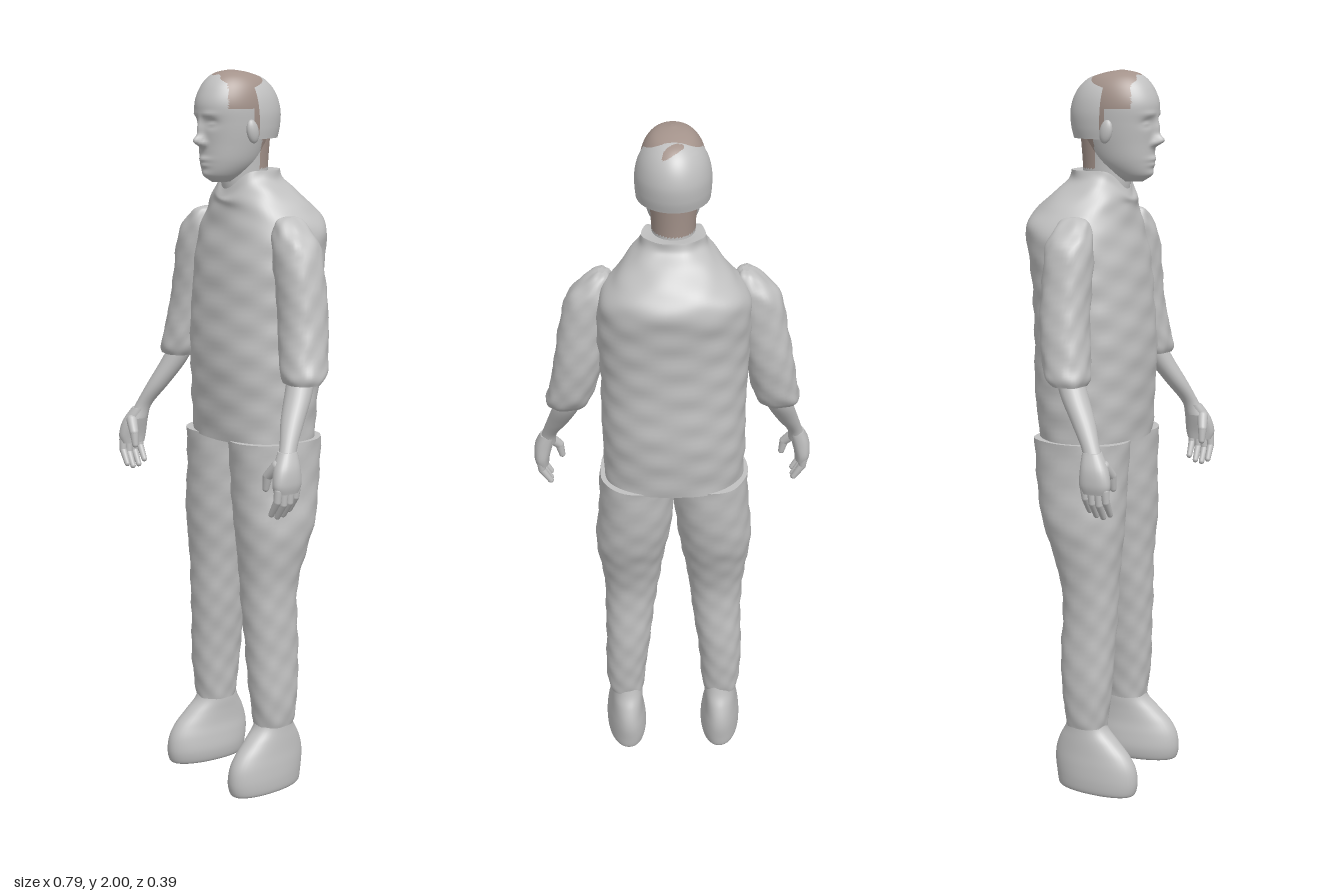
import * as THREE from 'three';

const material = (name, color) => {
  const m = new THREE.MeshStandardMaterial({ color, side: THREE.DoubleSide });
  m.name = name;
  return m;
};

const MID = 0.01; // the figure's plane of symmetry

// Catmull-Rom through rows of numbers, u from 0 to 1
function sample(rows, u) {
  const f = u * (rows.length - 1), i = Math.min(Math.floor(f), rows.length - 2), t = f - i;
  const row = k => rows[Math.max(0, Math.min(rows.length - 1, k))];
  return rows[0].map((_, c) => {
    const [a, b, d, e] = [row(i - 1)[c], row(i)[c], row(i + 1)[c], row(i + 2)[c]];
    return b + 0.5 * t * (d - a + t * (2 * a - 5 * b + 4 * d - e + t * (3 * (b - d) + e - a)));
  });
}

// Skin over horizontal rings, listed bottom up: [y, centre x, half width, front z, back z]
function loft(rows, { seg = 40, steps = 40, power = 2, from = 0, arc = Math.PI * 2, caps = true, bend, second } = {}) {
  const pos = [], lists = [[], []];
  const point = (u, t) => {
    const [y, cx, rx, zf, zb] = sample(rows, u);
    const round = v => Math.sign(v) * Math.abs(v) ** (2 / power);
    const p = new THREE.Vector3(cx + rx * round(Math.cos(t)), y, (zf + zb) / 2 + (zf - zb) / 2 * round(Math.sin(t)));
    if (bend) bend(p, t, u);
    return p;
  };
  const whole = arc > 6.28, cols = whole ? seg : seg + 1;
  const add = p => pos.push(p.x, p.y, p.z) / 3 - 1;
  const tri = (...ids) => {
    const mean = c => ids.reduce((s, i) => s + pos[i * 3 + c], 0) / 3;
    lists[second && second(mean(0), mean(1), mean(2)) ? 1 : 0].push(...ids);
  };
  for (let i = 0; i <= steps; i++)
    for (let j = 0; j < cols; j++) add(point(i / steps, from + arc * j / seg));
  for (let i = 0; i < steps; i++)
    for (let j = 0; j < seg; j++) {
      const k = (j + 1) % cols, a = i * cols + j, b = i * cols + k;
      tri(a, a + cols, b);
      tri(b, a + cols, b + cols);
    }
  if (caps) for (const u of [0, 1]) {
    const ring = [], c = new THREE.Vector3();
    for (let j = 0; j < seg; j++) {
      const p = point(u, arc * j / seg);
      c.addScaledVector(p, 1 / seg);
      ring.push(add(p));
    }
    const centre = add(c);
    ring.forEach((a, j) => {
      const b = ring[(j + 1) % seg];
      if (u) tri(a, centre, b); else tri(a, b, centre);
    });
  }
  const g = new THREE.BufferGeometry();
  g.setAttribute('position', new THREE.Float32BufferAttribute(pos, 3));
  g.setIndex([...lists[0], ...lists[1]]);
  g.addGroup(0, lists[0].length, 0);
  g.addGroup(lists[0].length, lists[1].length, 1);
  g.computeVertexNormals();
  return g;
}

// Soft cloth folds
const folds = amount => (p, t) => {
  const w = amount * (Math.sin(p.y * 47 + 3 * t) * Math.sin(4 * t + p.y * 21) + 0.6 * Math.sin(p.y * 80 - 5 * t));
  p.x += Math.cos(t) * w;
  p.z += Math.sin(t) * w;
};

export function createModel() {
  const model = new THREE.Group();
  const grey = material('light grey', 0xc0c0c0), brown = material('hair brown', 0xa4938b);
  const part = (name, geometry, mat = grey, parent = model) => {
    const m = new THREE.Mesh(geometry, mat);
    m.name = name;
    parent.add(m);
    return m;
  };

  // Shirt, with the collar dipping at the throat
  const shirtFolds = folds(0.0022);
  part('shirt', loft([
    [1.0, MID, 0.193, 0.125, -0.158], [1.1, MID, 0.196, 0.133, -0.168], [1.2, MID, 0.197, 0.138, -0.174],
    [1.3, MID, 0.198, 0.135, -0.173], [1.4, MID, 0.202, 0.127, -0.174], [1.5, MID, 0.205, 0.113, -0.185],
    [1.58, MID, 0.195, 0.097, -0.195], [1.63, MID, 0.158, 0.09, -0.17], [1.68, MID, 0.115, 0.085, -0.12],
    [1.71, MID, 0.09, 0.075, -0.086], [1.735, MID, 0.083, 0.066, -0.08]
  ], {
    seg: 64, steps: 70, power: 2.3, bend: (p, t) => {
      shirtFolds(p, t);
      const throat = Math.max(0, Math.sin(t)) ** 6 * THREE.MathUtils.smoothstep(p.y, 1.62, 1.735);
      p.y -= 0.05 * throat;
      p.z += 0.012 * throat;
    }
  }));

  part('neck', loft([
    [1.6, MID, 0.06, 0.055, -0.06], [1.68, MID, 0.058, 0.078, -0.055],
    [1.74, MID, 0.058, 0.085, -0.052], [1.82, MID, 0.062, 0.09, -0.058]
  ], { second: (x, y, z) => y > 1.74 && z < 0.005 }), [grey, brown]);

  // Head: each feature is a soft bump [x, y, width, height, depth] on the face
  const features = [
    [0, 1.815, 0.012, 0.014, 0.027], [0, 1.845, 0.009, 0.026, 0.013],
    [0, 1.766, 0.024, 0.007, 0.007], [0, 1.751, 0.02, 0.007, 0.006], [0, 1.725, 0.02, 0.012, 0.006],
    ...[-1, 1].flatMap(s => [
      [s * 0.034, 1.862, 0.017, 0.012, -0.011], [s * 0.034, 1.86, 0.011, 0.006, 0.007],
      [s * 0.033, 1.886, 0.022, 0.007, 0.004], [s * 0.013, 1.808, 0.007, 0.007, 0.008]
    ])
  ];
  part('head', loft([
    [1.705, MID, 0.022, 0.12, 0.06], [1.725, MID, 0.045, 0.143, 0.02], [1.76, MID, 0.065, 0.15, -0.02],
    [1.81, MID, 0.077, 0.153, -0.045], [1.86, MID, 0.084, 0.159, -0.058], [1.91, MID, 0.086, 0.164, -0.06],
    [1.95, MID, 0.078, 0.15, -0.055], [1.978, MID, 0.061, 0.128, -0.03], [1.993, MID, 0.038, 0.102, 0.012],
    [2.0, MID, 0.006, 0.068, 0.052]
  ], {
    seg: 96, steps: 96,
    bend: (p, t) => {
      if (Math.sin(t) < 0) return;
      for (const [x, y, w, h, d] of features)
        p.z += d * Math.exp(-(((p.x - MID - x) / w) ** 2) - ((p.y - y) / h) ** 2) * Math.sin(t);
    },
    second: (x, y, z) => (y > 1.9 && z < 0.113 + 0.004 * Math.sin(x * 170)) || (y > 1.83 && z < 0.045) || (y > 1.74 && z < 0.005)
  }), [grey, brown]);

  // Rounded shell over the back of the head, with a few bare patches
  const shell = [[1.82, 0.097, 0.112], [1.85, 0.1, 0.12], [1.89, 0.099, 0.123], [1.93, 0.089, 0.113],
    [1.962, 0.07, 0.092], [1.983, 0.044, 0.06], [1.993, 0.004, 0.005]];
  part('hairShell', loft(shell.map(([y, rx, d]) => [y, MID, rx, 0.037 + d, 0.037 - d]), {
    seg: 64, steps: 60, from: Math.PI, arc: Math.PI, caps: false,
    second: (x, y, z) => {
      const a = x - 0.013, b = z + 0.036;
      const along = 0.87 * a - 0.5 * b, across = 0.5 * a + 0.87 * b;
      return y > 1.9 && ((along / 0.032) ** 2 + (across / 0.013) ** 2 < 1 || (a / 0.02) ** 2 + ((z - 0.037) / 0.025) ** 2 < 1);
    }
  }), [grey, brown]);

  const limb = (a, b, r0, r1) => { // tapered rounded rod between two points
    const p = new THREE.Vector3(...a), q = new THREE.Vector3(...b), len = p.distanceTo(q), pts = [];
    for (let i = 0; i <= 6; i++) pts.push(new THREE.Vector2(r0 * Math.sin(i * Math.PI / 12), -r0 * Math.cos(i * Math.PI / 12)));
    for (let i = 0; i <= 6; i++) pts.push(new THREE.Vector2(r1 * Math.cos(i * Math.PI / 12), len + r1 * Math.sin(i * Math.PI / 12)));
    const g = new THREE.LatheGeometry(pts, 14);
    g.applyQuaternion(new THREE.Quaternion().setFromUnitVectors(new THREE.Vector3(0, 1, 0), q.clone().sub(p).normalize()));
    return g.translate(p.x, p.y, p.z);
  };

  for (const s of [1, -1]) {
    const side = new THREE.Group(), tag = s > 0 ? 'left' : 'right';
    side.name = tag + 'Limbs';
    model.add(side);
    const at = x => MID + s * x;
    const rows = list => list.map(([y, inner, outer, zf, zb]) => [y, at((inner + outer) / 2), (outer - inner) / 2, zf, zb]);
    const add = (name, g) => part(tag + name, g, grey, side);

    add('Ear', new THREE.SphereGeometry(1, 16, 12).scale(0.012, 0.032, 0.018).rotateX(0.2).translate(at(0.086), 1.84, 0.05));

    add('Sleeve', loft(rows([
      [1.19, 0.24, 0.345, 0.083, -0.005], [1.21, 0.228, 0.35, 0.09, -0.025], [1.25, 0.215, 0.34, 0.085, -0.042],
      [1.34, 0.193, 0.325, 0.075, -0.055], [1.44, 0.175, 0.308, 0.072, -0.058], [1.54, 0.158, 0.286, 0.068, -0.058],
      [1.585, 0.158, 0.25, 0.058, -0.045], [1.612, 0.168, 0.218, 0.045, -0.03], [1.62, 0.18, 0.2, 0.02, -0.01]
    ]), { power: 2.2, bend: folds(0.0022) }));

    add('Forearm', loft(rows([
      [1.0, 0.333, 0.383, 0.168, 0.112], [1.04, 0.327, 0.37, 0.15, 0.1], [1.1, 0.292, 0.353, 0.125, 0.06],
      [1.17, 0.26, 0.333, 0.09, 0.015], [1.24, 0.24, 0.31, 0.06, -0.01]
    ]), { seg: 24, steps: 24 }));

    // Hand: palm turned to the thigh, four curled fingers and a thumb
    add('Palm', loft(rows([
      [0.925, 0.355, 0.392, 0.186, 0.112], [0.95, 0.352, 0.397, 0.192, 0.106],
      [0.99, 0.342, 0.393, 0.182, 0.106], [1.03, 0.332, 0.376, 0.158, 0.106]
    ]), { seg: 24, steps: 16, power: 2.4 }));
    for (let i = 0; i < 4; i++) {
      const z = 0.121 + i * 0.0195, drop = [0.012, 0, -0.003, 0.006][i];
      const knuckle = [at(0.378), 0.935, z], joint = [at(0.376), 0.9 + drop, z + 0.002], tip = [at(0.352), 0.862 + drop, z + 0.003];
      add('Finger', limb(knuckle, joint, 0.0115, 0.0105));
      add('FingerTip', limb(joint, tip, 0.0105, 0.008));
    }
    add('Thumb', limb([at(0.352), 0.995, 0.165], [at(0.325), 0.965, 0.175], 0.016, 0.013));
    add('ThumbTip', limb([at(0.325), 0.965, 0.175], [at(0.318), 0.93, 0.176], 0.013, 0.009));

    add('TrouserLeg', loft(rows([
      [0.19, 0.09, 0.193, 0.076, -0.036], [0.22, 0.087, 0.198, 0.08, -0.042], [0.3, 0.08, 0.202, 0.088, -0.053],
      [0.4, 0.068, 0.2, 0.094, -0.057], [0.5, 0.056, 0.199, 0.098, -0.055], [0.6, 0.043, 0.202, 0.1, -0.06],
      [0.7, 0.028, 0.215, 0.108, -0.088], [0.78, 0.014, 0.222, 0.112, -0.118], [0.88, 0.002, 0.212, 0.116, -0.137],
      [1.005, -0.004, 0.206, 0.122, -0.15]
    ]), { power: 2.2, steps: 60, bend: folds(0.0018) }));

    // Foot
    add('Shoe', loft(rows([
      [0, 0.103, 0.186, 0.158, -0.058], [0.008, 0.09, 0.199, 0.17, -0.068], [0.04, 0.084, 0.202, 0.176, -0.074],
      [0.08, 0.088, 0.199, 0.17, -0.079], [0.115, 0.094, 0.194, 0.15, -0.076], [0.15, 0.096, 0.19, 0.115, -0.064],
      [0.185, 0.096, 0.186, 0.08, -0.046], [0.23, 0.1, 0.183, 0.066, -0.035]
    ]), { power: 2.15, bend: p => { p.x += s * 0.07 * (p.z - 0.03); } }));
  }
  return model;
}
